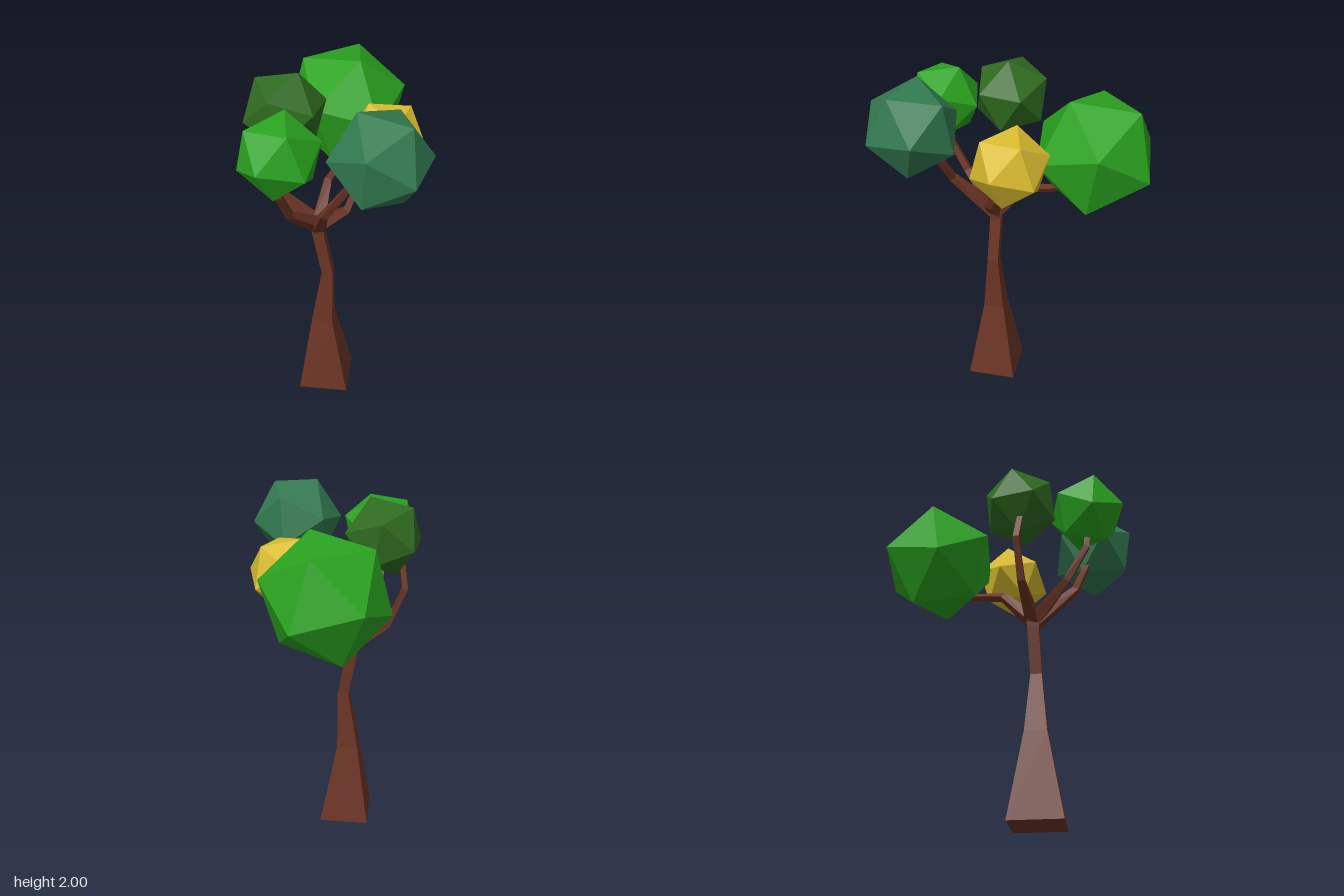
import * as THREE from 'three';

const V = (p) => new THREE.Vector3(p[0], p[1], p[2]);
const material = (color) => new THREE.MeshStandardMaterial({ color, flatShading: true });

// Four-sided tapering limb through [x, y, z, radius] points, capped at both ends
function limbGeometry(points, level = false) {
  const path = points.map(V);
  const last = path.length - 1;
  const positions = [];
  const indices = [];
  path.forEach((p, i) => {
    const tangent = level
      ? new THREE.Vector3(0, 1, 0)
      : path[Math.min(i + 1, last)].clone().sub(path[Math.max(i - 1, 0)]).normalize();
    const u = new THREE.Vector3(0.83, 0, 0.56);
    u.addScaledVector(tangent, -u.dot(tangent)).normalize();
    const v = tangent.clone().cross(u);
    for (let j = 0; j < 4; j++) {
      const a = (j * Math.PI) / 2;
      const corner = p.clone()
        .addScaledVector(u, Math.cos(a) * points[i][3])
        .addScaledVector(v, Math.sin(a) * points[i][3]);
      positions.push(corner.x, corner.y, corner.z);
      if (i < last) {
        const k = i * 4 + j;
        const n = i * 4 + ((j + 1) % 4);
        indices.push(k, n, n + 4, k, n + 4, k + 4);
      }
    }
  });
  const e = last * 4;
  indices.push(0, 2, 1, 0, 3, 2, e, e + 1, e + 2, e, e + 2, e + 3);
  const indexed = new THREE.BufferGeometry();
  indexed.setAttribute('position', new THREE.Float32BufferAttribute(positions, 3));
  indexed.setIndex(indices);
  const geometry = indexed.toNonIndexed();
  geometry.computeVertexNormals();
  return geometry;
}

// Icosahedron turned so that one of its edges runs between directions a and b
function crown({ name, color, center, radius, a, b }) {
  const mesh = new THREE.Mesh(new THREE.IcosahedronGeometry(radius, 0), material(color));
  const va = V(a).normalize();
  const vb = V(b).normalize();
  const middle = va.clone().add(vb).normalize();
  const edge = vb.sub(va).normalize();
  const side = edge.clone().cross(middle);
  mesh.quaternion.setFromRotationMatrix(new THREE.Matrix4().makeBasis(edge, middle, side));
  mesh.position.copy(V(center));
  mesh.name = name;
  return mesh;
}

export function createModel() {
  const tree = new THREE.Group();
  tree.name = 'tree';
  const bark = material(0x6a3424);

  // Trunk: wide square foot, slim bent upper part
  const trunk = new THREE.Mesh(limbGeometry([
    [-0.113, 0, 0.168, 0.202],
    [-0.12, 0.48, 0.17, 0.085],
    [-0.088, 0.82, 0.165, 0.044],
    [-0.135, 1.08, 0.165, 0.045],
    [-0.14, 1.18, 0.168, 0.06],
  ], true), bark);
  trunk.name = 'trunk';
  tree.add(trunk);

  // Branches: one to each ball of leaves
  const branches = {
    rightBranch: [[-0.14, 1.13, 0.165], [-0.34, 1.28, 0.16], [-0.43, 1.5, 0.16], [-0.4, 1.67, 0.18]],
    frontBranch: [[-0.14, 1.13, 0.17], [-0.21, 1.31, 0.38], [-0.215, 1.5, 0.5], [-0.2, 1.62, 0.51]],
    frontLeftBranch: [[-0.13, 1.12, 0.17], [-0.02, 1.35, 0.38], [0.1, 1.53, 0.41], [0.17, 1.65, 0.43]],
    leftBranch: [[-0.13, 1.13, 0.165], [0.02, 1.24, 0.14], [0.07, 1.4, 0.07], [0.1, 1.52, 0.01]],
    backBranch: [[-0.14, 1.13, 0.165], [-0.14, 1.31, -0.01], [-0.1, 1.36, -0.18], [-0.08, 1.42, -0.3]],
  };
  const radii = [0.05, 0.027, 0.023, 0.021];
  for (const [name, path] of Object.entries(branches)) {
    const branch = new THREE.Mesh(limbGeometry(path.map((p, i) => [...p, radii[i]])), bark);
    branch.name = name;
    tree.add(branch);
  }

  // Balls of leaves
  const crowns = [
    { name: 'backLeaves', color: 0x2aa31f, center: [-0.16, 1.595, -0.4], radius: 0.345,
      a: [0.12, 0.32, 0.1], b: [0.01, 0.245, -0.205] },
    { name: 'leftLeaves', color: 0xd9bb2f, center: [0.175, 1.59, -0.055], radius: 0.216,
      a: [-0.1, 0.19, 0], b: [-0.215, 0, -0.013] },
    { name: 'rightLeaves', color: 0x2f6a1f, center: [-0.305, 1.78, 0.145], radius: 0.222,
      a: [0.07, 0.21, -0.015], b: [-0.15, 0.165, 0] },
    { name: 'frontLeaves', color: 0x2aa31f, center: [-0.195, 1.735, 0.505], radius: 0.217,
      a: [-0.027, 0, 0.215], b: [0, -0.19, 0.1] },
    { name: 'frontLeftLeaves', color: 0x327a50, center: [0.285, 1.765, 0.435], radius: 0.258,
      a: [-0.11, 0.235, 0.02], b: [0.155, 0.205, 0.04] },
  ];
  crowns.forEach((c) => tree.add(crown(c)));

  return tree;
}
